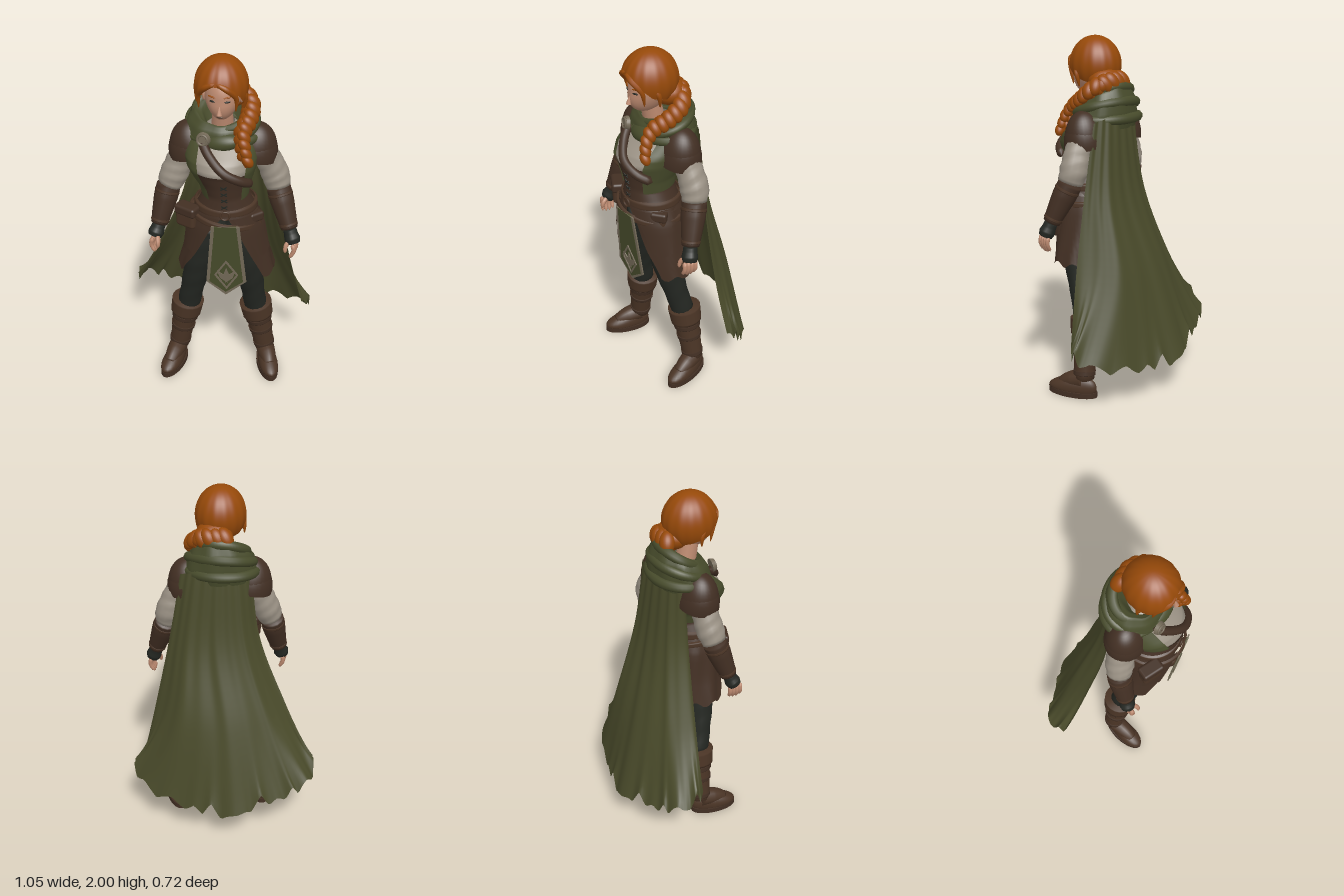
import * as THREE from 'three';
import { mergeVertices } from 'three/addons/utils/BufferGeometryUtils.js';
import { RoundedBoxGeometry } from 'three/addons/geometries/RoundedBoxGeometry.js';

const mat = (name, color) => {
  const m = new THREE.MeshStandardMaterial({ color, side: THREE.DoubleSide });
  m.name = name;
  return m;
};
const V = (p) => new THREE.Vector3(...p);
const lerpList = (list, t) => {
  const f = Math.min(t, 0.99999) * (list.length - 1), i = Math.floor(f);
  return THREE.MathUtils.lerp(list[i], list[i + 1], f - i);
};

// Smooth surface from a rule f(u, v) -> [x, y, z]
function grid(nu, nv, f) {
  const pos = [], idx = [];
  for (let j = 0; j <= nv; j++) for (let i = 0; i <= nu; i++) pos.push(...f(i / nu, j / nv));
  for (let j = 0; j < nv; j++) for (let i = 0; i < nu; i++) {
    const a = j * (nu + 1) + i, b = a + nu + 1;
    idx.push(a, a + 1, b + 1, a, b + 1, b);
  }
  const g = new THREE.BufferGeometry();
  g.setAttribute('position', new THREE.Float32BufferAttribute(pos, 3));
  g.setIndex(idx);
  const m = mergeVertices(g, 1e-5);
  m.computeVertexNormals();
  return m;
}

// Elliptical cross-sections [y, cx, cz, rx, rz]; angle 0 is the front, tz tilts from first to last section
function loft(secs, { a0 = () => 0, a1 = () => Math.PI * 2, yaw = 0.26, grow = 0, tx = 0, tz = [0, 0], wave = 0, hem = 0 } = {}) {
  const cols = [0, 1, 2, 3, 4].map((k) => secs.map((s) => s[k]));
  return grid(48, (secs.length - 1) * 4, (u, v) => {
    const [y, cx, cz, rx, rz] = cols.map((c) => lerpList(c, v));
    const a = THREE.MathUtils.lerp(a0(v), a1(v), u), w = 1 + wave * Math.sin(a * 9 + v * 4);
    const lx = (rx + grow) * w * Math.sin(a), lz = (rz + grow) * w * Math.cos(a);
    return [cx + lx * Math.cos(yaw) + lz * Math.sin(yaw),
      y + tx * lx + lerpList(tz, v) * lz + hem * v ** 6 * Math.sin(a * 11),
      cz + lz * Math.cos(yaw) - lx * Math.sin(yaw)];
  });
}

// Tube along a path with changing radius and closed ends
function limb(path, radii, { n = 20, sides = 14, wave = 0 } = {}) {
  const curve = new THREE.CatmullRomCurve3(path.map(V));
  const g = new THREE.TubeGeometry(curve, n, 1, sides);
  const p = g.attributes.position, v = new THREE.Vector3();
  for (let k = 0; k < p.count; k++) {
    const i = Math.floor(k / (sides + 1)), c = curve.getPointAt(i / n);
    const around = ((k % (sides + 1)) / sides) * Math.PI * 4;
    const r = i === 0 || i === n ? 0.0005 : lerpList(radii, i / n) * (1 + wave * Math.sin(i * 1.7 + around));
    v.fromBufferAttribute(p, k).sub(c).multiplyScalar(r).add(c);
    p.setXYZ(k, v.x, v.y, v.z);
  }
  g.deleteAttribute('uv');
  g.deleteAttribute('normal');
  const m = mergeVertices(g, 1e-5);
  m.computeVertexNormals();
  return m;
}

function plate(points, depth = 0.008, hole) {
  const shape = new THREE.Shape(points.map((p) => new THREE.Vector2(...p)));
  if (hole) shape.holes.push(new THREE.Path(hole.map((p) => new THREE.Vector2(...p))));
  return new THREE.ExtrudeGeometry(shape, { depth, bevelEnabled: false });
}

export function createModel() {
  const root = new THREE.Group();
  const hair = mat('copper hair', 0x964909), skin = mat('skin', 0xbd8a70), capeGreen = mat('cape green', 0x494a2a);
  const hoodGreen = mat('hood green', 0x474b2b), leather = mat('leather', 0x422f23), boot = mat('boot leather', 0x4a3425);
  const linen = mat('linen', 0x9a9184), dark = mat('dark cloth', 0x242722), trim = mat('trim', 0x746a58);
  const add = (name, geo, m, pos = [0, 0, 0], rot = [0, 0, 0], parent = root) => {
    const mesh = new THREE.Mesh(geo, m);
    mesh.name = name;
    mesh.position.set(...pos);
    mesh.rotation.set(...rot);
    parent.add(mesh);
    return mesh;
  };
  const ball = (name, m, pos, scale, rot, parent) => {
    const b = add(name, new THREE.SphereGeometry(1, 24, 16), m, pos, rot, parent);
    b.scale.set(...scale);
  };

  // Torso, vest and corset
  const chest = [[1.36, 0.09, 0.175, 0.145, 0.15], [1.42, 0.08, 0.17, 0.17, 0.175], [1.47, 0.075, 0.155, 0.18, 0.165],
    [1.56, 0.07, 0.12, 0.17, 0.09], [1.63, 0.07, 0.11, 0.06, 0.06]];
  const waist = [[1.15, 0.105, 0.17, 0.17, 0.155], [1.2, 0.105, 0.175, 0.14, 0.14], [1.26, 0.105, 0.18, 0.112, 0.13],
    [1.32, 0.1, 0.18, 0.124, 0.14], [1.38, 0.09, 0.177, 0.152, 0.158], [1.4, 0.085, 0.175, 0.162, 0.168]];
  add('shirt', loft(chest), linen);
  add('corset', loft(waist, { grow: 0.006, tz: [0.08, 0.08] }), leather);
  const openVest = { a0: () => 0.75, a1: () => 5.6, grow: 0.014 };
  add('vest', loft([waist[2], waist[3], ...chest.slice(0, 4)], openVest), hoodGreen);
  for (const y of [1.23, 1.27, 1.31, 1.35]) for (const s of [-1, 1])
    add('corsetLace', new THREE.BoxGeometry(0.036, 0.005, 0.005), dark, [0.14, y, 0.314 + Math.max(0, y - 1.27) * 0.15], [0.1, 0.26, s * 0.5]);
  add('chestStrap', limb([[-0.01, 1.57, 0.24], [0.05, 1.51, 0.295], [0.14, 1.44, 0.33], [0.22, 1.39, 0.295], [0.26, 1.35, 0.225]], [0.024, 0.024]), leather);

  // Skirt split at the front, with overlapping flaps
  const skirt = [[1.17, 0.105, 0.17, 0.165, 0.155], [1.08, 0.105, 0.165, 0.2, 0.17], [0.92, 0.108, 0.16, 0.23, 0.175], [0.77, 0.108, 0.155, 0.268, 0.178]];
  add('skirt', loft(skirt, { a0: (v) => 0.1 + 0.78 * v, a1: (v) => 6.18 - 1.0 * v, wave: 0.02, hem: 0.015 }), leather);
  for (const s of [-1, 1])
    add('hipFlap', loft(skirt.slice(0, 3), { a0: (v) => s * (0.25 + 0.55 * v), a1: (v) => s * (1.5 - 0.2 * v), grow: 0.014, hem: 0.012 }), leather);
  const belt = (y, r, d, tx) => [[y - d, 0.105, 0.17, r, r - 0.012], [y - d * 0.7, 0.105, 0.17, r + 0.012, r], [y + d * 0.7, 0.105, 0.17, r + 0.01, r], [y + d, 0.105, 0.17, r - 0.004, r - 0.014]];
  add('upperBelt', loft(belt(1.19, 0.158, 0.024)), boot);
  add('slantedBelt', loft(belt(1.125, 0.185, 0.018), { tx: -0.15 }), boot);
  add('buckle', new THREE.TorusGeometry(0.024, 0.005, 8, 20), boot, [0.15, 1.19, 0.33], [0, 0.26, 0]);
  for (const [x, y, z, w, r] of [[-0.07, 1.13, 0.292, 0.12, -0.3], [0.265, 1.1, 0.19, 0.08, 0.9]]) {
    add('pouch', new RoundedBoxGeometry(w, 0.12, 0.07, 3, 0.02), boot, [x, y, z], [0, r, 0]);
    add('pouchFlap', new RoundedBoxGeometry(w + 0.01, 0.055, 0.08, 3, 0.015), leather, [x, y + 0.04, z], [0, r, 0]);
  }

  // Tabard with border and diamond ornament
  const tabard = new THREE.Group();
  tabard.name = 'tabard';
  tabard.position.set(0.155, 1.135, 0.34);
  tabard.rotation.set(0.08, 0.25, 0);
  root.add(tabard);
  const outline = (k) => [[-0.075 + k, 0], [-0.11 + k, -0.37], [-0.005, -0.465 + k * 1.2], [0.108 - k, -0.37], [0.075 - k, 0]];
  add('tabardBorder', plate(outline(0)), trim, [0, 0, 0], [0, 0, 0], tabard);
  add('tabardCloth', plate(outline(0.018), 0.012), hoodGreen, [0, 0, -0.002], [0, 0, 0], tabard);
  const diamond = (w, h) => [[0, h], [w, 0], [0, -h], [-w, 0]];
  add('diamond', plate(diamond(0.065, 0.1), 0.005, diamond(0.054, 0.083)), trim, [0, -0.32, 0.01], [0, 0, 0], tabard);
  for (const a of [-0.6, 0, 0.6])
    add('diamondLeaf', plate(diamond(0.016, 0.05), 0.005), trim, [a * 0.035, -0.32 - Math.abs(a) * 0.02, 0.01], [0, 0, -a], tabard);

  // Cape: four curved rows joined from shoulders to ragged hem, its edges curling forward
  const rows = [
    [[-0.12, 1.56, 0.05], [-0.05, 1.58, -0.01], [0.06, 1.58, -0.05], [0.17, 1.58, -0.06], [0.25, 1.56, -0.04]],
    [[-0.17, 1.18, 0.055], [-0.1, 1.16, -0.05], [0.06, 1.15, -0.105], [0.22, 1.16, -0.11], [0.32, 1.18, -0.04]],
    [[-0.33, 0.78, 0.03], [-0.24, 0.74, -0.12], [-0.02, 0.7, -0.225], [0.26, 0.72, -0.215], [0.41, 0.74, -0.07]],
    [[-0.505, 0.4, 0], [-0.52, 0.36, -0.1], [-0.42, 0.3, -0.205], [-0.24, 0.25, -0.285], [-0.08, 0.19, -0.355], [0.16, 0.21, -0.33], [0.42, 0.26, -0.27], [0.525, 0.32, -0.18], [0.49, 0.36, -0.12]],
  ].map((r) => new THREE.CatmullRomCurve3(r.map(V)));
  add('cape', grid(110, 30, (u, v) => {
    const p = new THREE.CatmullRomCurve3(rows.map((r) => r.getPoint(u))).getPoint(v);
    const tooth = Math.abs(((u * 13 + 0.3 * Math.sin(u * 21)) % 1 + 1) % 1 - 0.5) * 2;
    p.y += v ** 9 * tooth * (0.065 + 0.035 * Math.sin(u * 37));
    p.z += 0.008 * v * Math.sin(u * 24 + v) + 0.003 * Math.sin(u * 50);
    return p.toArray();
  }), capeGreen);

  // Hood gathered round the neck, high behind and low in front
  add('hood', loft([[1.52, 0.055, 0.085, 0.19, 0.14], [1.57, 0.055, 0.085, 0.2, 0.155], [1.64, 0.055, 0.08, 0.178, 0.148],
    [1.69, 0.06, 0.08, 0.145, 0.125], [1.67, 0.065, 0.085, 0.11, 0.1], [1.6, 0.07, 0.1, 0.08, 0.07]], { tz: [0.05, -0.2, -0.45, -0.6], wave: 0.018 }), hoodGreen);
  for (const [y, r, t] of [[1.56, 0.19, -0.05], [1.615, 0.176, -0.32], [1.675, 0.14, -0.54]]) {
    const ring = [];
    for (let i = 0; i <= 16; i++) {
      const a = (i / 16) * Math.PI * 2;
      ring.push([0.056 + r * Math.sin(a), y + t * r * Math.cos(a) * 0.82, 0.085 + r * 0.78 * Math.cos(a)]);
    }
    add('hoodFold', limb(ring, [0.018, 0.026, 0.03, 0.026, 0.018], { n: 60, sides: 10 }), hoodGreen);
  }
  ball('hoodDrape', hoodGreen, [0.09, 1.555, 0.205], [0.1, 0.045, 0.055], [0.5, 0.1, 0.1]);
  add('clasp', new THREE.CylinderGeometry(0.034, 0.038, 0.018, 24), trim, [0.01, 1.58, 0.265], [1.4, 0, 0]);
  add('claspRim', new THREE.TorusGeometry(0.026, 0.006, 8, 24), trim, [0.01, 1.582, 0.276], [-0.17, 0, 0]);

  // Head and face
  add('neck', limb([[0.07, 1.53, 0.12], [0.08, 1.76, 0.165]], [0.062, 0.05]), skin);
  const head = new THREE.Group();
  head.name = 'head';
  head.position.set(0.085, 1.805, 0.165);
  head.rotation.set(0.06, 0.15, 0);
  root.add(head);
  const face = new THREE.SphereGeometry(1, 32, 24), fp = face.attributes.position;
  for (let i = 0; i < fp.count; i++) {
    const y = fp.getY(i), t = Math.max(0, -y), z = fp.getZ(i);
    fp.setXYZ(i, fp.getX(i) * 0.094 * (1 - 0.2 * t), y * 0.125, z * 0.113 + 0.035 * t * (0.5 + 0.5 * z));
  }
  face.computeVertexNormals();
  add('face', face, skin, [0, 0, 0], [0, 0, 0], head);
  add('nose', new THREE.ConeGeometry(0.014, 0.055, 10), skin, [0, -0.034, 0.118], [-0.25, 0, 0], head);
  ball('mouth', boot, [0, -0.079, 0.112], [0.017, 0.003, 0.003], [0, 0, 0], head);
  for (const s of [-1, 1]) {
    ball('eye', dark, [s * 0.038, 0.004, 0.103], [0.016, 0.005, 0.004], [0, s * 0.4, 0], head);
    ball('brow', hair, [s * 0.04, 0.027, 0.1], [0.022, 0.004, 0.005], [0, s * 0.4, s * 0.12], head);
    ball('ear', skin, [s * 0.094, -0.01, 0.01], [0.012, 0.03, 0.02], [0, 0, 0], head);
  }

  // Hair cap with open face, side locks and braid
  add('hairCap', grid(96, 24, (u, v) => {
    const a = u * Math.PI * 2, f = Math.abs(a > Math.PI ? a - 2 * Math.PI : a);
    const max = f < 1.2 ? 1.3 + 0.65 * (f / 1.2) ** 2 : 1.95 + 0.35 * Math.min(1, (f - 1.2) / 1.2);
    const th = v * max, w = 1 + 0.014 * v * Math.sin(a * 15) - (f < 0.1 ? 0.015 * v : 0);
    const s = Math.sin(th) * w;
    return [0.072 + 0.136 * s * Math.sin(a + 0.1), 1.845 + 0.155 * Math.cos(th), 0.155 + 0.148 * s * Math.cos(a + 0.1)];
  }), hair);
  const locks = [
    [[0.08, 1.9, 0.29], [0.03, 1.875, 0.285], [-0.015, 1.82, 0.25], [-0.02, 1.74, 0.235]],
    [[0.09, 1.9, 0.29], [0.14, 1.875, 0.28], [0.175, 1.82, 0.24], [0.17, 1.74, 0.225]],
    [[-0.02, 1.86, 0.22], [-0.052, 1.8, 0.175], [-0.055, 1.74, 0.17]],
    [[0.17, 1.86, 0.2], [0.198, 1.8, 0.16], [0.19, 1.73, 0.15]],
  ];
  for (const l of locks) add('sideLock', limb(l, [0.01, 0.016, 0.015, 0.01, 0.003], { sides: 8 }), hair);
  ball('hairNape', hair, [0.085, 1.765, 0.06], [0.1, 0.07, 0.085], [0.3, 0, 0]);
  const braid = new THREE.CatmullRomCurve3([[0.03, 1.765, 0.015], [0.13, 1.76, 0.0], [0.19, 1.725, 0.035], [0.205, 1.67, 0.11], [0.195, 1.62, 0.195], [0.21, 1.56, 0.235], [0.232, 1.49, 0.25]].map(V));
  for (let i = 0; i < 26; i++) {
    const p = braid.getPointAt(i / 25), r = 0.053 - 0.021 * (i / 25), s = i % 2 ? 1 : -1;
    ball('braidStrand', hair, [p.x + s * 0.014, p.y, p.z + s * 0.008], [r * 0.8, r * 1.15, r * 0.8], [0.3, 0, s * 0.55]);
  }
  add('braidTip', limb([[0.232, 1.52, 0.25], [0.236, 1.45, 0.254]], [0.025, 0.022, 0.003]), hair);

  // Arms: sleeve, bracer, glove and fingers
  const arm = (side, shoulder, elbow, wrist, hand, sleeve, inward) => {
    const g = new THREE.Group();
    g.name = side + 'Arm';
    root.add(g);
    const part = (name, geo, m) => add(name, geo, m, [0, 0, 0], [0, 0, 0], g);
    const mix = (a, b, t) => a.map((k, i) => k + (b[i] - k) * t);
    part('sleeve', limb([shoulder, ...sleeve, elbow], [0.066, 0.068, 0.072, 0.077, 0.064], { wave: 0.025 }), linen);
    part('bracer', limb([mix(elbow, wrist, -0.1), mix(elbow, wrist, 0.5), wrist], [0.066, 0.066, 0.056, 0.045]), leather);
    for (const t of [0.12, 0.85])
      part('bracerStrap', limb([mix(elbow, wrist, t - 0.05), mix(elbow, wrist, t + 0.05)], [0.071 - t * 0.023, 0.071 - t * 0.023], { n: 6 }), boot);
    part('glove', limb([mix(elbow, wrist, 0.95), mix(wrist, hand, 0.5), hand], [0.036, 0.038, 0.044, 0.036]), dark);
    for (let i = 0; i < 4; i++) {
      const dz = (i - 1.5) * 0.02, b = [hand[0], hand[1] + 0.01, hand[2] + dz];
      part('finger', limb([b, [b[0] + inward * -0.008, b[1] - 0.045, b[2]], [b[0] + inward * 0.014, b[1] - 0.1 + Math.abs(dz) * 0.4, b[2] + 0.004]], [0.013, 0.012, 0.009], { n: 8, sides: 8 }), skin);
    }
    part('thumb', limb([mix(wrist, hand, 0.6), [hand[0] + inward * 0.035, hand[1] - 0.005, hand[2] + 0.035], [hand[0] + inward * 0.035, hand[1] - 0.045, hand[2] + 0.045]], [0.016, 0.013, 0.009], { n: 8, sides: 8 }), skin);
  };
  arm('left', [0.23, 1.53, 0.055], [0.36, 1.23, 0.035], [0.445, 1.02, 0.095], [0.472, 0.95, 0.11], [[0.29, 1.42, 0.04], [0.335, 1.31, 0.025]], -1);
  arm('right', [-0.1, 1.53, 0.14], [-0.215, 1.23, 0.19], [-0.248, 1.02, 0.265], [-0.265, 0.96, 0.295], [[-0.145, 1.42, 0.15], [-0.185, 1.31, 0.17]], 1);

  // Layered shoulder guards, flared and dropping outward
  for (const [x, z, s] of [[0.212, 0.062, 1], [-0.082, 0.135, -1]])
    for (const [k, d] of [[1, 0], [1.05, -0.022]]) {
      const dome = add('shoulderGuard', new THREE.SphereGeometry(1, 28, 12, 0, Math.PI * 2, 0, 1.57), leather, [x + s * 0.008, 1.455 + d, z], [0, 0.26, -s * 0.2]);
      dome.scale.set(0.122 * k, 0.165, 0.108 * k);
    }

  // Legs and boots
  const leg = (side, path, cuff, ankle, turn, foot, length) => {
    const g = new THREE.Group();
    g.name = side + 'Leg';
    root.add(g);
    add('trouser', limb(path, [0.1, 0.092, 0.078, 0.066, 0.066], { wave: 0.02 }), dark, [0, 0, 0], [0, 0, 0], g);
    const at = (t) => cuff.map((k, i) => k + (ankle[i] - k) * t);
    const band = (name, t0, t1, r0, r1, m) => add(name, limb([at(t0), at((t0 + t1) / 2), at(t1)], [r0, r1], { n: 10, sides: 20 }), m, [0, 0, 0], [0, 0, 0], g);
    band('bootShaft', 0, 1.1, 0.077, 0.055, boot);
    band('bootCuff', -0.06, 0.27, 0.095, 0.088, boot);
    band('cuffStrap', 0.26, 0.36, 0.08, 0.077, leather);
    band('shinStrap', 0.5, 0.58, 0.073, 0.07, leather);
    band('ankleStrap', 0.84, 0.93, 0.064, 0.063, leather);
    const shoe = new THREE.SphereGeometry(1, 28, 20), p = shoe.attributes.position;
    for (let i = 0; i < p.count; i++) {
      const z = p.getZ(i), y = Math.max(p.getY(i), -0.25);
      p.setXYZ(i, p.getX(i) * (0.056 + 0.01 * z), 0.027 + (y + 0.25) * (0.068 - 0.025 * z), z * length);
    }
    shoe.computeVertexNormals();
    add('shoe', shoe, boot, foot, [0, turn, 0], g);
    const sole = add('sole', new THREE.CylinderGeometry(1, 1, 0.03, 32), leather, [foot[0], 0.015, foot[2]], [0, turn, 0], g);
    sole.scale.set(0.061, 1, length + 0.002);
    add('instep', limb([ankle, [foot[0] + Math.sin(turn) * 0.02, 0.08, foot[2] + Math.cos(turn) * 0.02], [foot[0] + Math.sin(turn) * 0.07, 0.055, foot[2] + Math.cos(turn) * 0.07]], [0.056, 0.05, 0.035]), boot, [0, 0, 0], [0, 0, 0], g);
  };
  leg('right', [[0.03, 1.08, 0.17], [-0.035, 0.82, 0.185], [-0.09, 0.6, 0.165], [-0.135, 0.4, 0.135]], [-0.137, 0.44, 0.135], [-0.197, 0.1, 0.135], -0.08, [-0.2, 0, 0.222], 0.138);
  leg('left', [[0.18, 1.08, 0.15], [0.222, 0.82, 0.14], [0.24, 0.6, 0.09], [0.252, 0.4, 0.035]], [0.248, 0.44, 0.035], [0.303, 0.1, 0.0], 0.45, [0.338, 0, 0.06], 0.148);
  return root;
}
